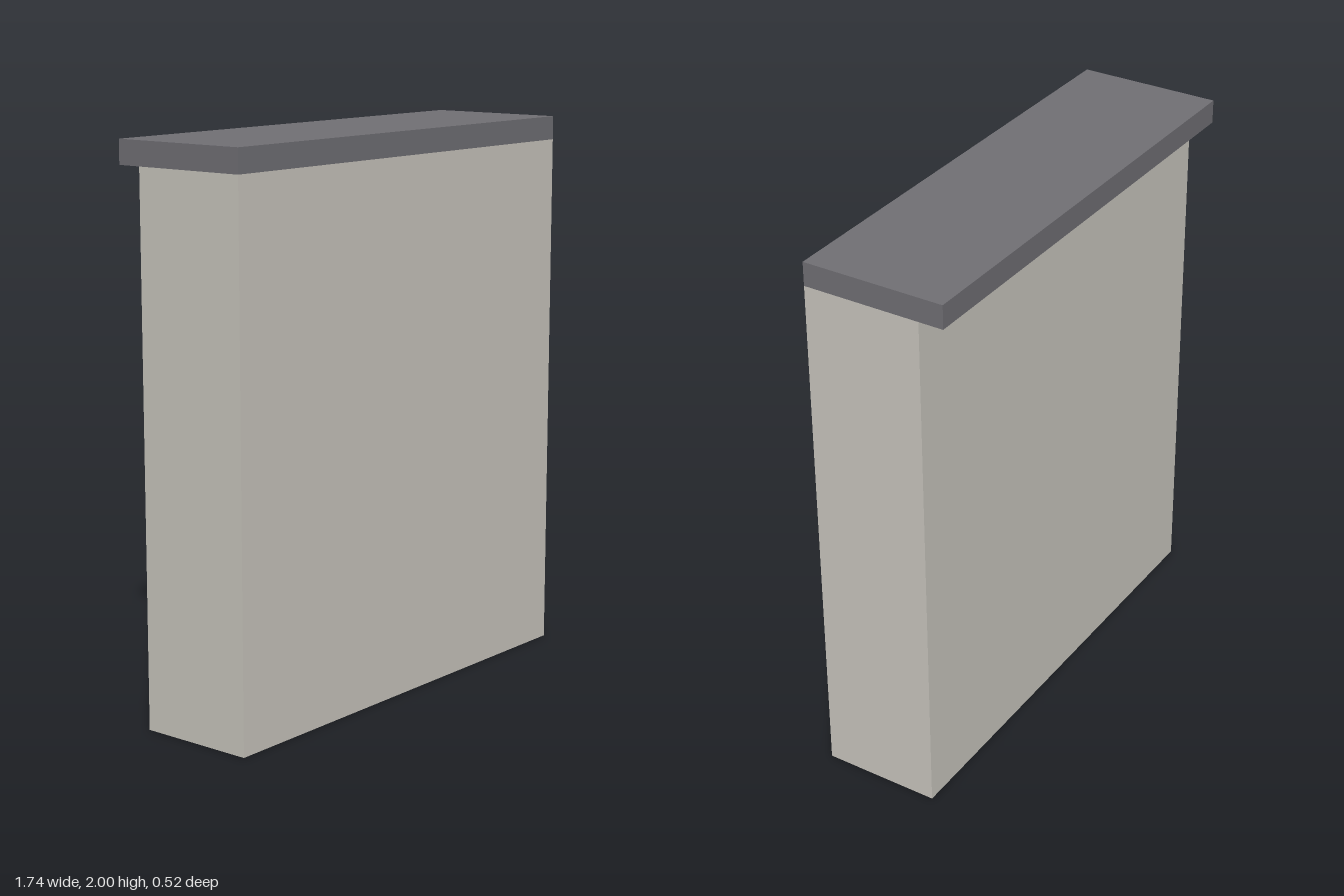
import * as THREE from 'three';

const WIDTH = 1.74;
const FRONT = 0.26;      // front faces of wall and cap are flush
const SPLIT = 1.915;     // height where the cap begins

// Box given by its vertical range and its back face
function slab(name, y0, y1, back, color) {
  const geometry = new THREE.BoxGeometry(WIDTH, y1 - y0, FRONT - back);
  const mesh = new THREE.Mesh(geometry, new THREE.MeshStandardMaterial({ color }));
  mesh.position.set(0, (y0 + y1) / 2, (FRONT + back) / 2);
  mesh.name = name;
  return mesh;
}

export function createModel() {
  const model = new THREE.Group();
  model.name = 'cappedWall';
  // Upright wall block
  model.add(slab('wall', 0, SPLIT, -0.17, 0xcac7bf));
  // Dark cap overhanging the back
  model.add(slab('cap', SPLIT, 2, -0.26, 0x717075));
  return model;
}
